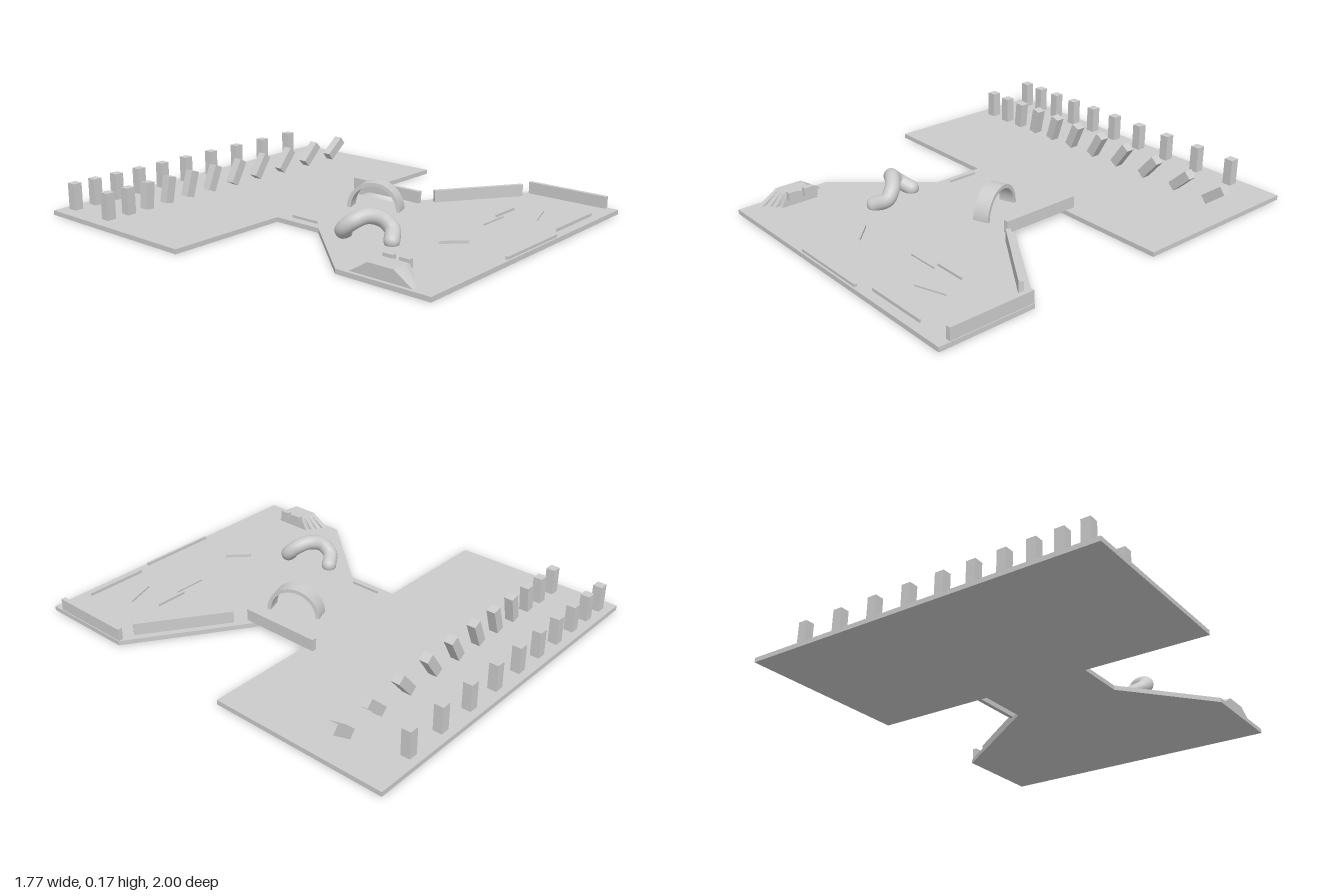
import * as THREE from 'three';

const FLOOR = 0.022;

export function createModel() {
  const model = new THREE.Group();
  const flat = new THREE.MeshStandardMaterial({ color: 0xcccccc, flatShading: true });
  const smooth = new THREE.MeshStandardMaterial({ color: 0xcccccc });

  const add = (name, geometry, material = flat) => {
    const mesh = new THREE.Mesh(geometry, material);
    mesh.name = name;
    model.add(mesh);
    return mesh;
  };
  const shapeOf = (pts) => new THREE.Shape(pts.map(([x, y]) => new THREE.Vector2(x, y)));
  const extrude = (shape, depth, curveSegments = 12) =>
    new THREE.ExtrudeGeometry(shape, { depth, bevelEnabled: false, curveSegments });

  // upright wall standing on the floor between two plan points
  const wall = (name, [x1, z1], [x2, z2], height, thickness) => {
    const dx = x2 - x1, dz = z2 - z1;
    const mesh = add(name, new THREE.BoxGeometry(Math.hypot(dx, dz), height, thickness));
    mesh.position.set((x1 + x2) / 2, FLOOR + height / 2, (z1 + z2) / 2);
    mesh.rotation.y = -Math.atan2(dz, dx);
  };

  // floor slab: wide back hall, neck and flared front hall
  const outline = [
    [-0.885, -1], [0.885, -1], [0.885, -0.13], [0.27, -0.13], [0.27, 0.125], [0.865, 0.53],
    [0.865, 1], [-0.625, 1], [-0.625, 0.53], [-0.275, 0.125], [-0.275, -0.13], [-0.885, -0.13],
  ];
  add('floor', extrude(shapeOf(outline.map(([x, z]) => [x, -z])), FLOOR).rotateX(-Math.PI / 2));

  // back row of upright blocks
  const W = 0.045, H = 0.128;
  const block = new THREE.BoxGeometry(W, H, W);
  [-0.8, -0.685, -0.558, -0.42, -0.272, -0.114, 0.06, 0.246, 0.442, 0.648].forEach((x) => {
    add('uprightBlock', block).position.set(x, FLOOR + H / 2, -0.94);
  });

  // second row leans further and further, each block resting on its lower corner
  [-0.8, -0.685, -0.573, -0.446, -0.308, -0.159, 0.005, 0.175, 0.361, 0.56, 0.761].forEach((x, i) => {
    const lean = THREE.MathUtils.degToRad(5.8 * Math.max(0, i - 1));
    const mesh = add('leaningBlock', block);
    mesh.position.set(x, FLOOR + (H * Math.cos(lean) + W * Math.sin(lean)) / 2, -0.69);
    mesh.rotation.z = -lean;
  });

  // tall walls along the right-hand edge of the plan
  wall('neckWall', [0.344, -0.18], [0.344, 0.225], 0.058, 0.022);
  wall('slantedWall', [0.405, 0.265], [0.78, 0.525], 0.058, 0.022);
  wall('sideWall', [0.85, 0.53], [0.85, 0.945], 0.058, 0.022);

  // low strips on the front floor
  wall('frontStrip', [-0.085, 0.985], [0.31, 0.985], 0.013, 0.012);
  wall('frontStrip', [0.38, 0.95], [0.69, 0.95], 0.015, 0.007);
  wall('lowStrip', [0.385, 0.63], [0.54, 0.63], 0.012, 0.006);
  wall('lowStrip', [-0.1, 0.66], [-0.01, 0.75], 0.014, 0.007);
  wall('thinStrip', [0.24, 0.66], [0.4, 0.66], 0.008, 0.002);
  wall('thinStrip', [0.455, 0.805], [0.6, 0.755], 0.008, 0.002);
  wall('neckStrip', [-0.23, -0.075], [-0.23, 0.08], 0.012, 0.002);

  // half-ring arch
  const ring = new THREE.Shape();
  ring.absarc(0, 0, 0.131, 0, Math.PI, false);
  ring.absarc(0, 0, 0.113, Math.PI, 0, true);
  const arch = add('arch', extrude(ring, 0.076, 24).translate(0, 0, -0.038));
  arch.position.set(0.143, FLOOR, 0.115);
  arch.rotation.y = THREE.MathUtils.degToRad(-70);

  // twisted tube rising from the floor and curling back down
  const path = new THREE.CatmullRomCurve3([
    [-0.275, 0.038, 0.278], [-0.325, 0.07, 0.315], [-0.315, 0.11, 0.36], [-0.26, 0.13, 0.395],
    [-0.205, 0.11, 0.435], [-0.19, 0.07, 0.475], [-0.24, 0.038, 0.513],
  ].map((p) => new THREE.Vector3(...p)));
  add('twistedTube', new THREE.TubeGeometry(path, 64, 0.036, 20), smooth);
  [0, 1].forEach((t) => {
    add('tubeEnd', new THREE.SphereGeometry(0.036, 20, 14), smooth).position.copy(path.getPoint(t));
  });

  // stepped fan: four sloping slices, narrower towards the hall
  const midZ = 0.745, slice = 0.025;
  [0.157, 0.133, 0.115, 0.095].forEach((half, i) => {
    const profile = shapeOf([[-half, 0], [half, 0], [0.065, 0.058], [-0.065, 0.058]]);
    const mesh = add('fanSlice', extrude(profile, slice).rotateY(-Math.PI / 2));
    mesh.position.set(-0.608 + slice * (i + 1), FLOOR, midZ);
  });

  // notched front lip of the fan
  [-1, 1].forEach((side) => {
    add('lipBlock', new THREE.BoxGeometry(0.024, 0.04, 0.05))
      .position.set(-0.5, 0.075, midZ + side * 0.041);
  });

  return model;
}
